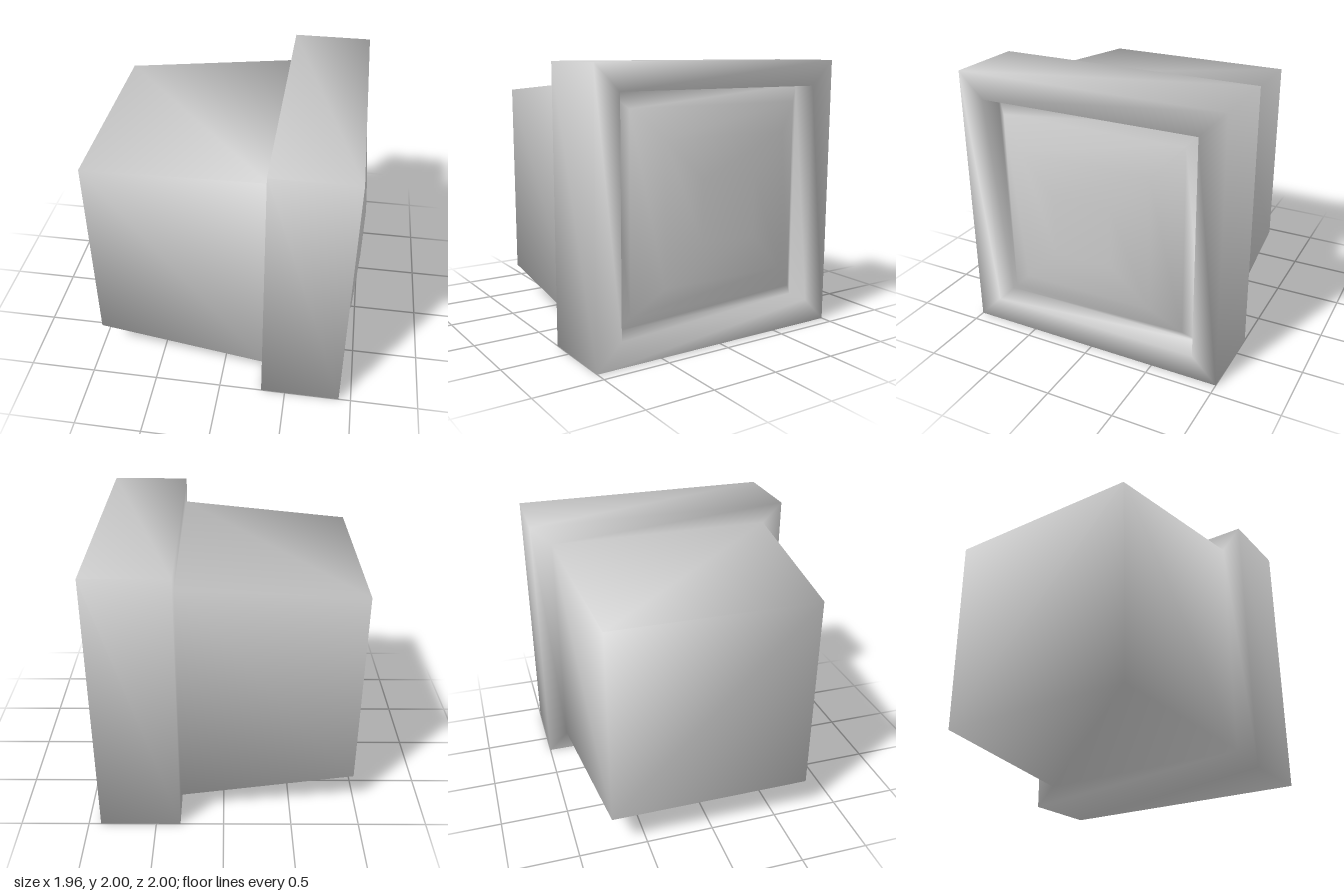
import * as THREE from 'three';

// Square cross-sections along x, from the back cap to the bulging screen: [x, half size]
const rings = [
  [-0.98, 0.75], [0.32, 0.85],               // tapered housing
  [0.32, 1.0], [0.91, 1.0], [0.91, 0.815],   // front frame
  [0.73, 0.815],                             // recessed wall
  [0.83, 0.7], [0.945, 0.5], [0.98, 0.22],   // bulging screen
];
// Corners as signs of [y, z], counter-clockwise seen from +x
const corners = [[-1, -1], [1, -1], [1, 1], [-1, 1]];

export function createModel() {
  const model = new THREE.Group();
  model.name = 'monitor';
  const plastic = new THREE.MeshStandardMaterial({ color: 0xcccccc });
  plastic.name = 'grey plastic';

  const positions = [];
  for (const [x, h] of rings)
    for (const [y, z] of corners) positions.push(x, 1 + y * h, z * h);

  // Faces joining ring i to ring i + 1
  const strip = (i) => {
    const faces = [];
    for (let k = 0; k < 4; k++) {
      const n = (k + 1) % 4;
      const a = i * 4 + k, b = i * 4 + n, c = a + 4, d = b + 4;
      faces.push(a, b, d, a, d, c);
    }
    return faces;
  };
  const strips = (from, to) => {
    const faces = [];
    for (let i = from; i < to; i++) faces.push(...strip(i));
    return faces;
  };
  const last = (rings.length - 1) * 4;
  const parts = {
    housing: [0, 2, 1, 0, 3, 2, ...strips(0, 1)],
    frame: strips(1, 5),
    screen: [...strips(5, 8), last, last + 1, last + 2, last, last + 2, last + 3],
  };

  // Normals are shared by all parts, so the shading runs smoothly across the seams
  const shell = new THREE.BufferGeometry();
  shell.setAttribute('position', new THREE.Float32BufferAttribute(positions, 3));
  shell.setIndex(Object.values(parts).flat());
  // Turn the winding outwards: the strips and caps above must face away from the axis
  shell.computeVertexNormals();

  for (const [name, index] of Object.entries(parts)) {
    const geometry = new THREE.BufferGeometry();
    geometry.setAttribute('position', shell.getAttribute('position').clone());
    geometry.setAttribute('normal', shell.getAttribute('normal').clone());
    geometry.setIndex(index);
    const mesh = new THREE.Mesh(geometry, plastic);
    mesh.name = name;
    model.add(mesh);
  }
  return model;
}
